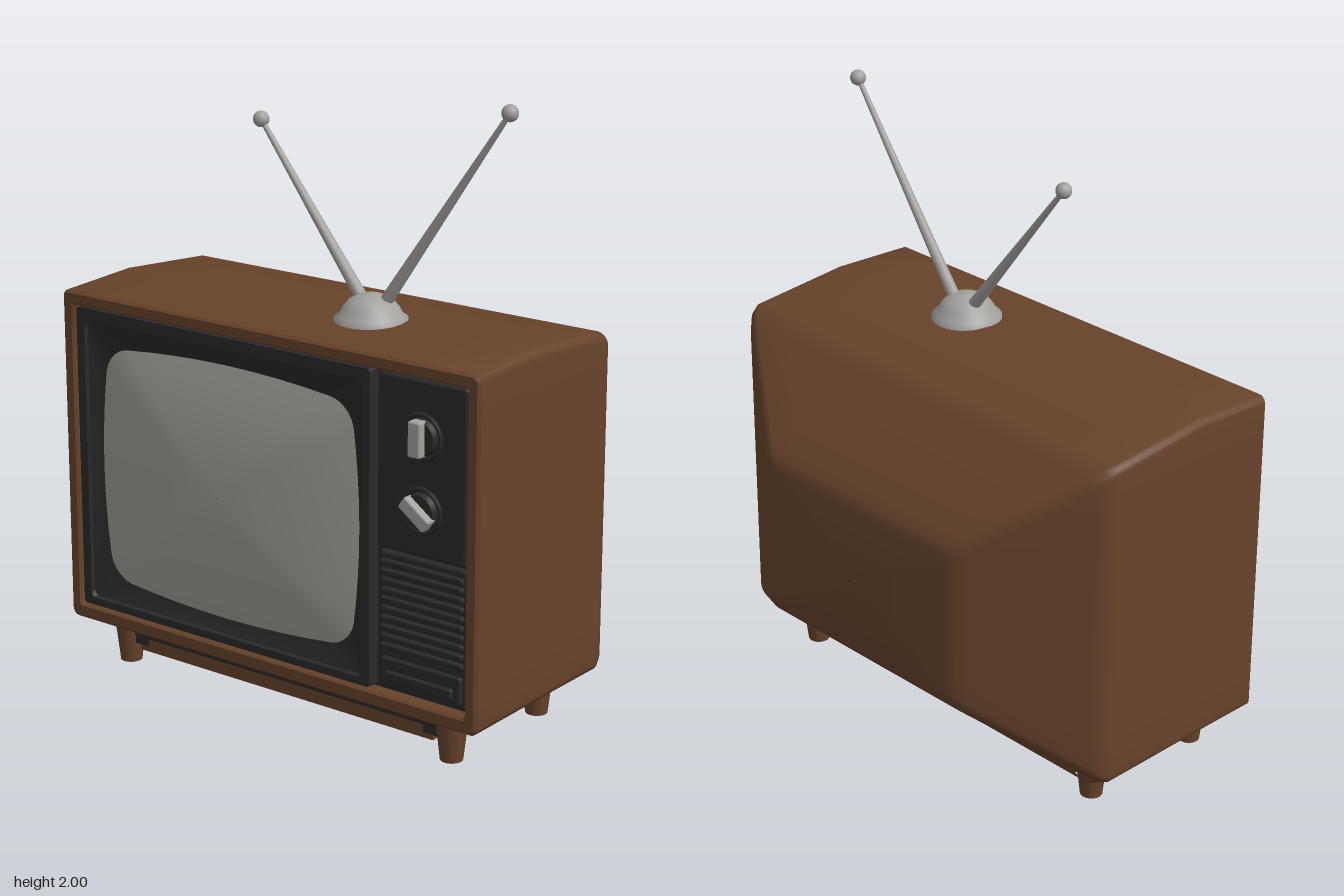
import * as THREE from 'three';
import { toCreasedNormals } from 'three/addons/utils/BufferGeometryUtils.js';
import { RoundedBoxGeometry } from 'three/addons/geometries/RoundedBoxGeometry.js';

const material = (name, color) => {
  const m = new THREE.MeshStandardMaterial({ color });
  m.name = name;
  return m;
};

// Rounded rectangle, counter-clockwise, with optionally bowed sides
function outline(x0, x1, y0, y1, r, bow = 0) {
  const cx = (x0 + x1) / 2, cy = (y0 + y1) / 2, hx = (x1 - x0) / 2, hy = (y1 - y0) / 2;
  const corners = [[1, -1], [1, 1], [-1, 1], [-1, -1]];
  const pts = [];
  corners.forEach(([sx, sy], i) => {
    for (let k = 0; k <= 5; k++) {
      const a = (i - 1 + k / 5) * Math.PI / 2;
      pts.push([sx * (hx - r) + r * Math.cos(a), sy * (hy - r) + r * Math.sin(a)]);
    }
    const [ex, ey] = pts[pts.length - 1];
    const [nx, ny] = corners[(i + 1) % 4];
    const a = i * Math.PI / 2;
    const tx = nx * (hx - r) + r * Math.cos(a), ty = ny * (hy - r) + r * Math.sin(a);
    for (let k = 1; k < 8; k++) pts.push([ex + (tx - ex) * k / 8, ey + (ty - ey) * k / 8]);
  });
  return pts.map(([x, y]) => {
    const u = x / hx, v = y / hy;
    return [cx + x + bow * u * (1 - v * v), cy + y + bow * v * (1 - u * u)];
  });
}

// Skin a list of { z, pts } rings, ordered outward and then backward
function loft(rings, crease = 0.6) {
  const n = rings[0].pts.length, pos = [], idx = [];
  rings.forEach(({ z, pts }) => pts.forEach(([x, y]) => pos.push(x, y, z)));
  for (let i = 0; i < rings.length - 1; i++) {
    for (let j = 0; j < n; j++) {
      const a = i * n + j, b = i * n + (j + 1) % n;
      idx.push(a, a + n, b, b, a + n, b + n);
    }
  }
  const g = new THREE.BufferGeometry();
  g.setAttribute('position', new THREE.Float32BufferAttribute(pos, 3));
  g.setIndex(idx);
  return toCreasedNormals(g, crease);
}

const ring = (z, x0, x1, y0, y1, r, bow) => ({ z, pts: outline(x0, x1, y0, y1, r, bow) });
const dot = (z, x, y) => ring(z, x - 0.001, x + 0.001, y - 0.001, y + 0.001, 0.0002);

export function createModel() {
  const wood = material('brown wood', 0x67432b);
  const dark = material('black plastic', 0x292929);
  const glass = material('grey screen', 0xa19e98);
  const metal = material('grey metal', 0xa3a19e);

  const model = new THREE.Group();
  model.name = 'television';
  const add = (name, geometry, mat, x = 0, y = 0, z = 0, parent = model) => {
    const mesh = new THREE.Mesh(geometry, mat);
    mesh.name = name;
    mesh.position.set(x, y, z);
    parent.add(mesh);
    return mesh;
  };

  // Cabinet: front rim, crowned top, tapered back
  const shell = [
    [0.47, 0.815, 0.16, 1.262, 0.02], [0.46, 0.825, 0.15, 1.27, 0.025],
    [0.17, 0.825, 0.15, 1.286, 0.03], [-0.19, 0.825, 0.15, 1.258, 0.03],
    [-0.22, 0.815, 0.16, 1.245, 0.035], [-0.25, 0.785, 0.185, 1.22, 0.04],
    [-0.46, 0.475, 0.36, 0.975, 0.04], [-0.485, 0.44, 0.385, 0.945, 0.04],
    [-0.497, 0.4, 0.41, 0.91, 0.04],
  ].map(([z, hx, y0, y1, r]) => ring(z, -hx, hx, y0, y1, r));
  add('cabinet', loft([
    ring(0.41, -0.778, 0.78, 0.2, 1.225, 0.01),
    ring(0.462, -0.778, 0.78, 0.2, 1.225, 0.01),
    ring(0.47, -0.785, 0.787, 0.193, 1.232, 0.012),
    ...shell, dot(-0.497, 0, 0.66),
  ]), wood);

  // Front panel and screen surround
  add('frontPanel', new THREE.BoxGeometry(1.57, 1.04, 0.02), dark, 0, 0.712, 0.41);
  add('screenSurround', loft([
    ring(0.425, -0.655, 0.32, 0.32, 1.085, 0.07, 0.033),
    ring(0.43, -0.675, 0.34, 0.3, 1.105, 0.08, 0.033),
    ring(0.448, -0.735, 0.385, 0.235, 1.175, 0.02),
    ring(0.46, -0.74, 0.39, 0.23, 1.18, 0.02),
    ring(0.46, -0.772, 0.418, 0.205, 1.218, 0.01),
    ring(0.41, -0.776, 0.422, 0.202, 1.222, 0.01),
  ], 0.4), dark);

  // Domed screen
  const dome = [dot(0.482, -0.167, 0.7)];
  for (let i = 1; i <= 8; i++) {
    const s = i / 8;
    dome.push(ring(0.482 - 0.05 * s * s, -0.167 - 0.493 * s, -0.167 + 0.493 * s,
      0.7 - 0.388 * s, 0.7 + 0.388 * s, 0.075 * s, 0.033 * s));
  }
  add('screen', loft(dome, 1), glass);

  // Control panel and dials
  add('controlPanel', new RoundedBoxGeometry(0.33, 0.55, 0.04, 2, 0.012), dark, 0.608, 0.943, 0.436);
  for (const [y, turn] of [[1.045, 0], [0.815, 0.95]]) {
    const dial = new THREE.Group();
    dial.name = 'dial';
    dial.position.set(0.61, y, 0.456);
    model.add(dial);
    add('dialRing', new THREE.TorusGeometry(0.068, 0.008, 8, 32), dark, 0, 0, 0, dial);
    add('dialDisc', new THREE.CylinderGeometry(0.054, 0.06, 0.024, 32), dark, 0, 0, 0.008, dial)
      .rotation.x = Math.PI / 2;
    add('dialGrip', new RoundedBoxGeometry(0.046, 0.112, 0.04, 2, 0.008), metal, 0, 0, 0.025, dial)
      .rotation.z = turn;
  }

  // Speaker grille with slats and lower plate
  add('grillePanel', new RoundedBoxGeometry(0.33, 0.445, 0.03, 2, 0.01), dark, 0.608, 0.433, 0.43);
  for (let i = 0; i < 10; i++) {
    add('grilleSlat', new RoundedBoxGeometry(0.305, 0.018, 0.022, 2, 0.006), dark,
      0.61, 0.355 + i * 0.03, 0.45);
  }
  add('lowerPlate', new RoundedBoxGeometry(0.3, 0.09, 0.02, 2, 0.008), dark, 0.61, 0.275, 0.45);
  add('lowerHandle', new RoundedBoxGeometry(0.25, 0.035, 0.02, 2, 0.008), dark, 0.61, 0.265, 0.464);

  // Flared underside
  const under = loft([
    ring(0.155, -0.785, 0.785, -0.44, 0.225, 0.04),
    ring(0.135, -0.775, 0.775, -0.43, 0.215, 0.04),
    ring(0.112, -0.71, 0.71, -0.39, 0.17, 0.04),
    dot(0.112, 0, -0.11),
  ]);
  under.rotateX(-Math.PI / 2);
  add('underside', under, wood);

  // Stand: rails between tapered legs
  for (const z of [0.36, -0.1]) {
    add('longRail', new THREE.BoxGeometry(1.2, 0.065, 0.03), wood, 0, 0.083, z);
    add('longRailTrim', new THREE.BoxGeometry(1.24, 0.018, 0.05), dark, 0, 0.108, z);
    for (const side of [-1, 1]) {
      add('leg', new THREE.CylinderGeometry(0.05, 0.036, 0.125, 20), wood, side * 0.66, 0.0625, z);
      add('legBracket', new THREE.BoxGeometry(0.06, 0.04, 0.04), dark, side * 0.595, 0.09, z);
    }
  }
  for (const side of [-1, 1]) {
    add('sideRail', new THREE.BoxGeometry(0.03, 0.035, 0.42), dark, side * 0.65, 0.097, 0.13);
  }

  // Antenna: domed base, two tapered rods with ball tips
  const antenna = new THREE.Group();
  antenna.name = 'antenna';
  model.add(antenna);
  const baseProfile = [[0.115, -0.01], [0.115, 0.012], [0.1, 0.02], [0.088, 0.045],
    [0.068, 0.068], [0.038, 0.083], [0, 0.087]].map(([x, y]) => new THREE.Vector2(x, y));
  add('antennaBase', new THREE.LatheGeometry(baseProfile, 32), metal, 0.22, 1.277, 0.195, antenna);
  for (const [x0, x1, y1] of [[0.19, -0.225, 1.85], [0.25, 0.712, 1.975]]) {
    const from = new THREE.Vector3(x0, 1.32, 0.182), to = new THREE.Vector3(x1, y1, 0.178);
    const dir = to.clone().sub(from), mid = from.clone().lerp(to, 0.5);
    add('antennaRod', new THREE.CylinderGeometry(0.008, 0.021, dir.length(), 14), metal,
      mid.x, mid.y, mid.z, antenna)
      .quaternion.setFromUnitVectors(new THREE.Vector3(0, 1, 0), dir.normalize());
    add('antennaTip', new THREE.SphereGeometry(0.026, 20, 14), metal, to.x, to.y, to.z, antenna);
  }
  return model;
}
